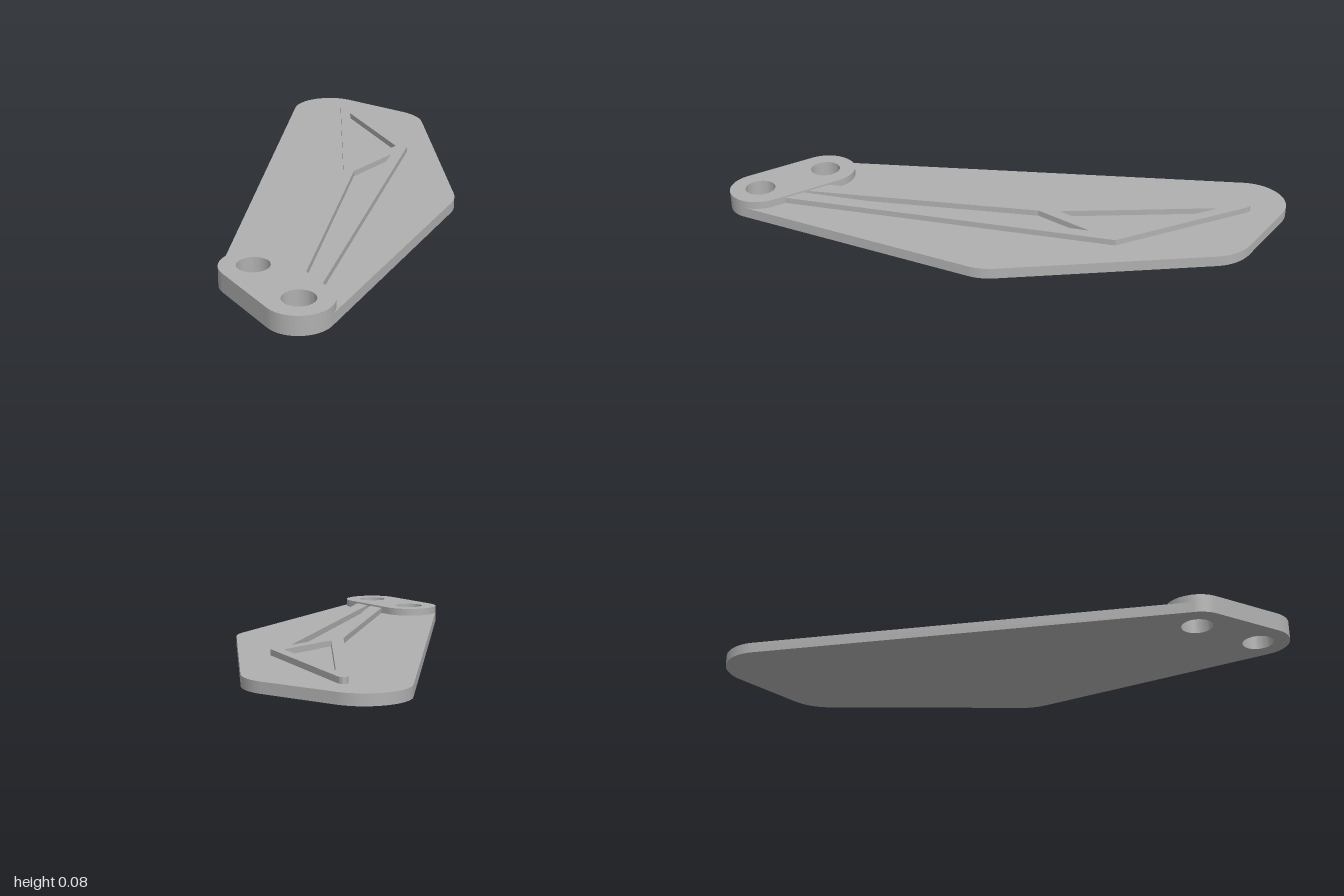
import * as THREE from 'three';
import { toCreasedNormals } from 'three/addons/utils/BufferGeometryUtils.js';

// Shapes are drawn in plan: shape x = model x, shape y = -z.
const PLATE_TOP = 0.045;
const RIB_TOP = 0.07;
const BOSS_TOP = 0.078;
const BOLTS = [[-0.706, -0.553], [-0.706, -0.868]];
const BOSS_R = 0.131;
const HOLE_R = 0.064;

// Outline wrapped tightly round a counter-clockwise ring of circles [x, y, r]
function wrapCircles(circles) {
  const n = circles.length;
  const normals = circles.map(([x, y, r], i) => {
    const [x2, y2, r2] = circles[(i + 1) % n];
    const dx = x2 - x, dy = y2 - y;
    return Math.atan2(dy, dx) - Math.acos((r - r2) / Math.hypot(dx, dy));
  });
  const shape = new THREE.Shape();
  circles.forEach(([x, y, r], i) => {
    shape.absarc(x, y, r, normals[(i + n - 1) % n], normals[i], false);
  });
  shape.closePath();
  return shape;
}

function polygon(points) {
  return new THREE.Shape(points.map(([x, z]) => new THREE.Vector2(x, -z)));
}

function addBoltHoles(shape) {
  for (const [x, y] of BOLTS) {
    shape.holes.push(new THREE.Path().absarc(x, y, HOLE_R, 0, Math.PI * 2, true));
  }
  return shape;
}

// Upright slab between two heights
function slab(name, shape, bottom, top, material) {
  const geometry = new THREE.ExtrudeGeometry(shape, {
    depth: top - bottom, bevelEnabled: false, curveSegments: 24,
  });
  geometry.rotateX(-Math.PI / 2);
  geometry.translate(0, bottom, 0);
  const mesh = new THREE.Mesh(toCreasedNormals(geometry, 0.5), material);
  mesh.name = name;
  return mesh;
}

export function createModel() {
  const group = new THREE.Group();
  group.name = 'leverPlate';
  const grey = new THREE.MeshStandardMaterial({ color: 0xb0b0b0 });
  grey.name = 'plain grey';

  // Broad base plate with rounded corners
  const bossCircles = BOLTS.map(([x, y]) => [x, y, BOSS_R]);
  const plate = addBoltHoles(wrapCircles([
    [0.54, 0.825, 0.175],
    ...bossCircles,
    [0.205, -0.273, 0.2],
    [0.635, 0.515, 0.2],
  ]));
  group.add(slab('basePlate', plate, 0, PLATE_TOP, grey));

  // Raised mounting boss around the two bolt holes
  const boss = addBoltHoles(wrapCircles(bossCircles));
  group.add(slab('mountingBoss', boss, PLATE_TOP, BOSS_TOP, grey));

  // Raised rib frame with a rounded tip and two open pockets
  const rib = polygon([
    [-0.6, 0.63], [0.11, -0.065], [0.572, -0.775], [0.582, -0.788], [0.595, -0.795],
    [0.608, -0.79], [0.614, -0.778], [0.613, -0.76], [0.51, -0.135], [-0.565, 0.805], [-0.6, 0.835],
  ]);
  rib.holes.push(polygon([[0.55, -0.66], [0.19, -0.09], [0.47, -0.17]]));
  rib.holes.push(polygon([[0.39, -0.095], [0.135, -0.02], [-0.576, 0.705], [-0.576, 0.728]]));
  group.add(slab('ribFrame', rib, PLATE_TOP, RIB_TOP, grey));

  return group;
}
